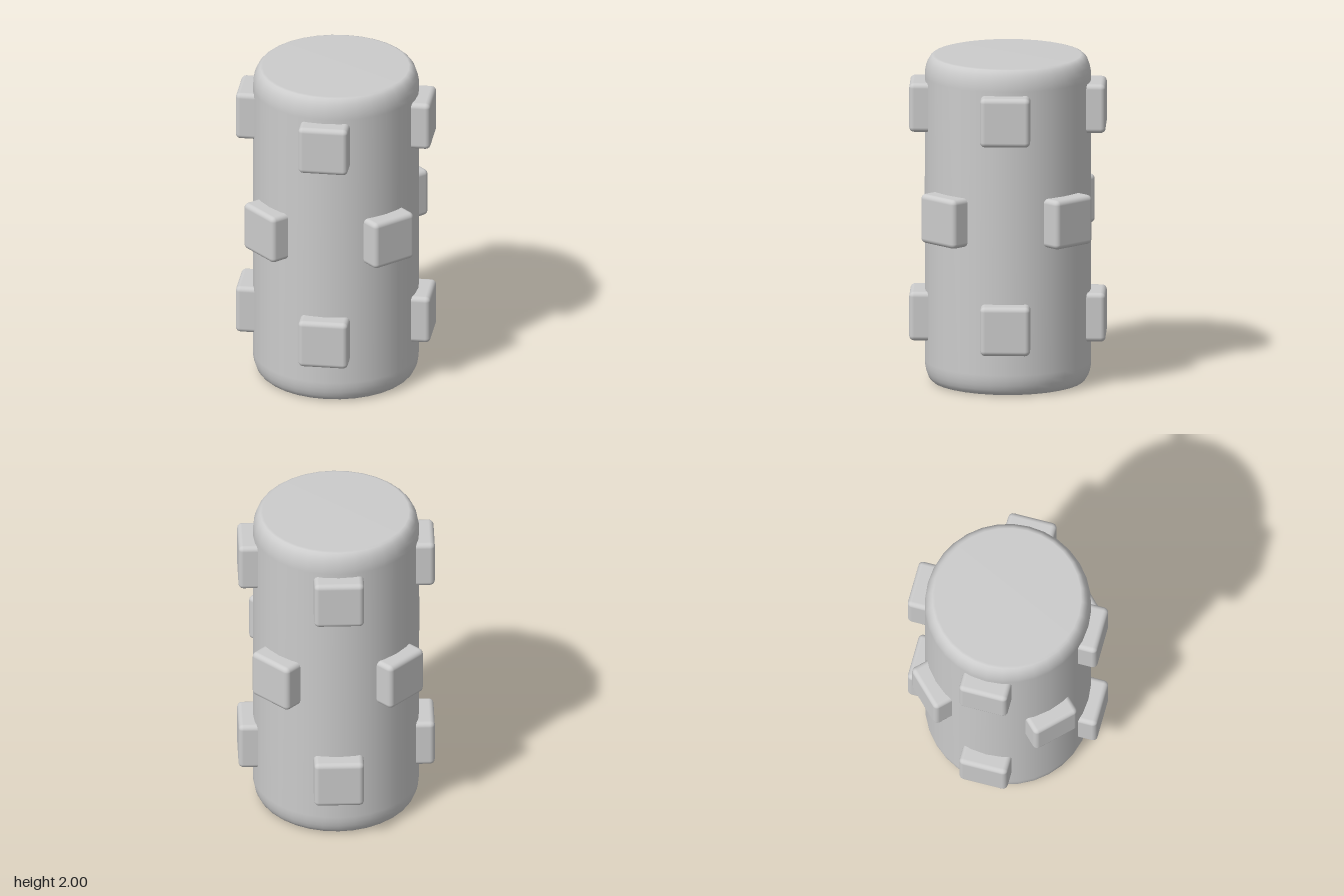
import * as THREE from 'three';
import { RoundedBoxGeometry } from 'three/addons/geometries/RoundedBoxGeometry.js';

const RADIUS = 0.5, HEIGHT = 2;
const BEVEL_X = 0.06, BEVEL_Y = 0.13, STEPS = 6;
const BLOCK = 0.3, BLOCK_DEPTH = 0.2, REACH = 0.59;

export function createModel() {
  const model = new THREE.Group();
  const material = new THREE.MeshStandardMaterial({ color: 0xcccccc });

  // Drum with softly rounded rims, profiled from bottom to top
  const bottom = [];
  for (let i = 0; i <= STEPS; i++) {
    const a = (i / STEPS) * Math.PI / 2;
    bottom.push(new THREE.Vector2(
      RADIUS - BEVEL_X * (1 - Math.sin(a)),
      BEVEL_Y * (1 - Math.cos(a))
    ));
  }
  const top = bottom.map(p => new THREE.Vector2(p.x, HEIGHT - p.y)).reverse();
  const profile = [new THREE.Vector2(0, 0), ...bottom, ...top, new THREE.Vector2(0, HEIGHT)];
  const drum = new THREE.Mesh(new THREE.LatheGeometry(profile, 32), material);
  drum.name = 'drum';
  model.add(drum);

  // Rows of four rounded studs; the middle row is turned by an eighth
  const studGeometry = new RoundedBoxGeometry(BLOCK, BLOCK, BLOCK_DEPTH, 3, 0.03);
  studGeometry.translate(0, 0, REACH - BLOCK_DEPTH / 2);
  const rows = [
    { name: 'lowerStud', y: 0.415, turn: Math.PI / 4 },
    { name: 'middleStud', y: 1.055, turn: 0 },
    { name: 'upperStud', y: 1.695, turn: Math.PI / 4 }
  ];
  for (const { name, y, turn } of rows) {
    for (let i = 0; i < 4; i++) {
      const stud = new THREE.Mesh(studGeometry, material);
      stud.name = name;
      stud.position.y = y;
      stud.rotation.y = turn + i * Math.PI / 2;
      model.add(stud);
    }
  }
  return model;
}
